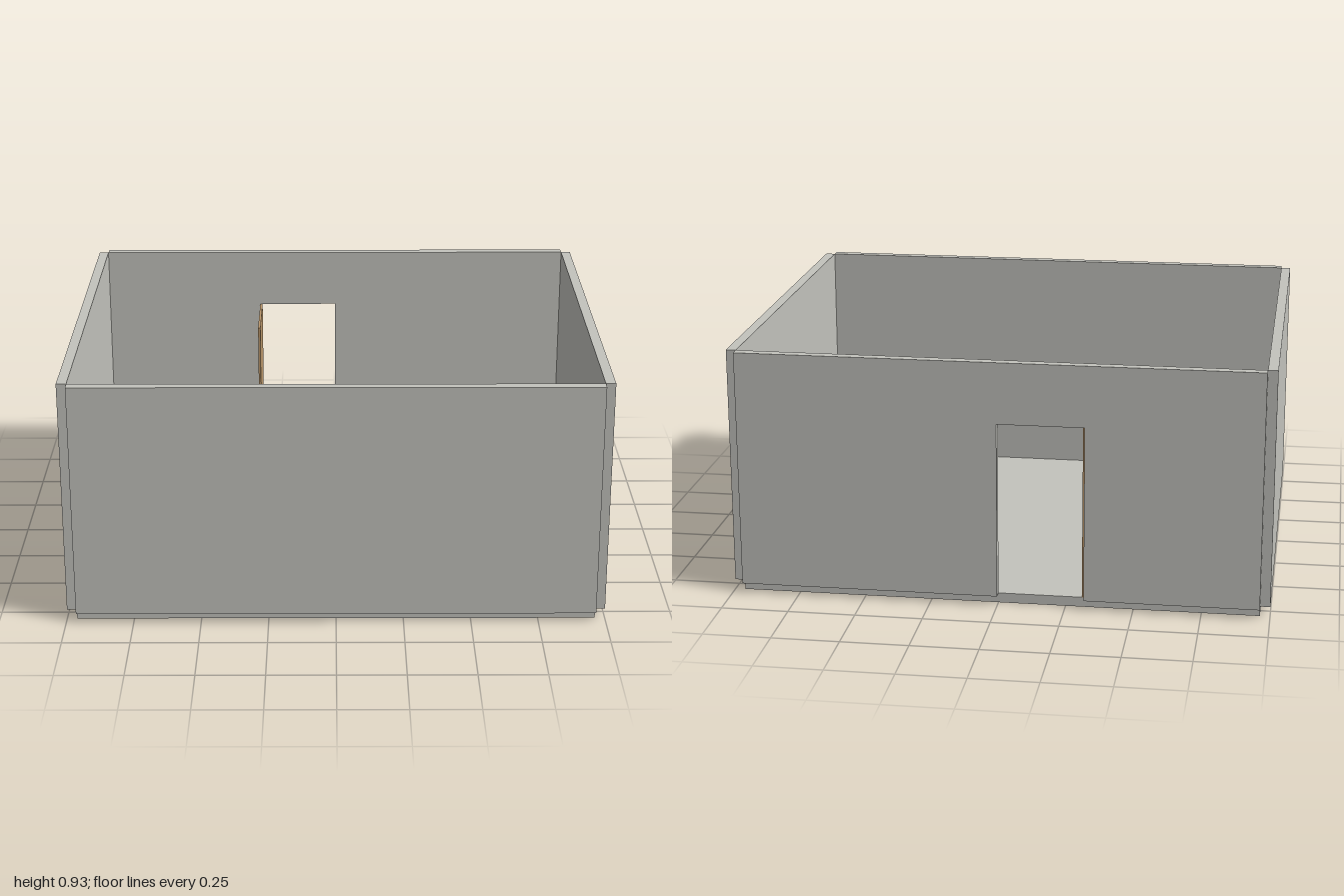
import * as THREE from 'three';

const concrete = new THREE.MeshStandardMaterial({ name: 'concrete grey', color: 0xc3c3bd });
const wood = new THREE.MeshStandardMaterial({ name: 'light wood', color: 0xb8956a });
const teal = new THREE.MeshStandardMaterial({ name: 'teal', color: 0x4b969b });

const X = 0.963, Z = 0.802, T = 0.037, TOP = 0.93; // inner half sizes, wall thickness, wall top

// Box given by its lower and upper corners
function block(name, material, [x0, y0, z0], [x1, y1, z1]) {
  const mesh = new THREE.Mesh(new THREE.BoxGeometry(x1 - x0, y1 - y0, z1 - z0), material);
  mesh.position.set((x0 + x1) / 2, (y0 + y1) / 2, (z0 + z1) / 2);
  mesh.name = name;
  return mesh;
}

// Four square legs around a centre
function addLegs(group, name, material, cx, cz, dx, dz, top, half) {
  for (const sx of [-1, 1]) for (const sz of [-1, 1]) {
    const x = cx + sx * dx, z = cz + sz * dz;
    group.add(block(name, material, [x - half, T, z - half], [x + half, top, z + half]));
  }
}

// Table, whose top may sit off centre over its legs
function makeTable(x, topShift) {
  const table = new THREE.Group();
  table.name = 'table';
  const c = x + topShift;
  table.add(block('tableTop', wood, [c - 0.16, 0.245, 0.223], [c + 0.16, 0.27, 0.413]));
  addLegs(table, 'tableLeg', wood, x, 0.318, 0.15, 0.085, 0.245, 0.01);
  return table;
}

// Chair facing the table, backrest on the door side
function makeChair(x) {
  const chair = new THREE.Group();
  chair.name = 'chair';
  chair.add(block('seat', teal, [x - 0.08, 0.163, 0.046], [x + 0.08, 0.181, 0.206]));
  chair.add(block('backrest', teal, [x - 0.08, 0.181, 0.046], [x + 0.08, 0.34, 0.058]));
  addLegs(chair, 'chairLeg', teal, x, 0.126, 0.07, 0.07, 0.163, 0.008);
  return chair;
}

export function createModel() {
  const room = new THREE.Group();
  room.name = 'room';

  // Floor, side walls and front wall
  room.add(block('floor', concrete, [-X, 0, -Z], [X, T, Z]));
  room.add(block('leftWall', concrete, [X, T, -Z], [X + T, TOP, Z]));
  room.add(block('rightWall', concrete, [-X - T, T, -Z], [-X, TOP, Z]));
  room.add(block('frontWall', concrete, [-X, T, Z], [X, TOP, Z + T]));

  // Back wall with a doorway
  const d0 = -0.32, d1 = 0, doorTop = 0.7;
  const outline = [[-X, T], [d0, T], [d0, doorTop], [d1, doorTop], [d1, T], [X, T], [X, TOP], [-X, TOP]];
  const shape = new THREE.Shape(outline.map(([x, y]) => new THREE.Vector2(x, y)));
  const back = new THREE.Mesh(new THREE.ExtrudeGeometry(shape, { depth: T, bevelEnabled: false }), concrete);
  back.position.z = -Z - T;
  back.name = 'backWall';
  room.add(back);

  // Door swung open into the room
  room.add(block('door', wood, [d0, T, -Z], [d0 + 0.01, doorTop, -0.485]));

  // Two desks with chairs
  room.add(makeTable(0.48, 0), makeChair(0.48));
  room.add(makeTable(-0.58, 0.064), makeChair(-0.58));
  return room;
}
